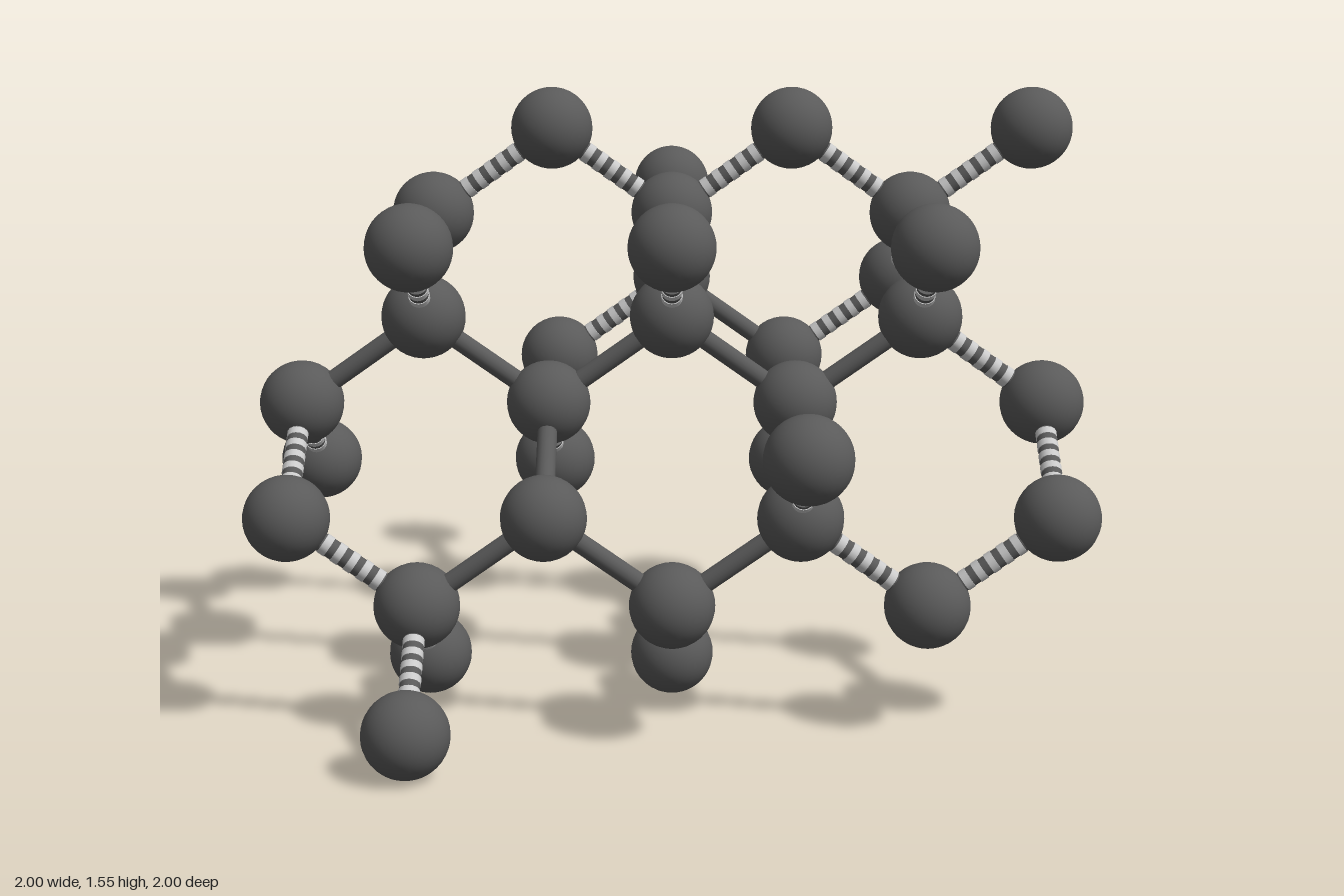
import * as THREE from 'three';

const STEP = 0.2233;      // lattice step
const BALL = 0.107;       // ball radius
const ROD = 0.025;        // rod radius

// Lattice balls by height layer, as [x, z] pairs in lattice steps
const LAYERS = [
  [[-2, 2], [0, 4], [0, 0]],
  [[-1, 3], [1, 1], [3, -1]],
  [[-4, 2], [-2, 4], [-2, 0], [0, 2], [0, -2], [2, 0], [4, -2]],
  [[-3, 3], [-3, -1], [-1, 1], [-1, -3], [1, -1], [3, 1], [3, -3]],
  [[-2, 2], [-2, -2], [0, 0], [0, -4], [2, -2]],
  [[-3, 1], [-3, -3], [-1, 3], [-1, -1], [1, 1], [1, -3], [3, -1]],
  [[-2, 0], [0, -2], [2, -4]],
];

// The four tetrahedral directions from an even-layer ball
const DIRECTIONS = [[1, 1, 1], [-1, -1, 1], [-1, 1, -1], [1, -1, -1]];

export function createModel() {
  const model = new THREE.Group();
  model.name = 'crystalLattice';
  const dark = new THREE.MeshStandardMaterial({ color: 0x5a5a5a });
  const light = new THREE.MeshStandardMaterial({ color: 0xcccccc });

  const ballGeometry = new THREE.SphereGeometry(BALL, 32, 20);
  const length = STEP * Math.sqrt(3);
  const rodGeometry = new THREE.CylinderGeometry(ROD, ROD, length - BALL, 16);
  const bandGeometry = new THREE.CylinderGeometry(ROD + 0.002, ROD + 0.002, 0.02, 16);

  // Balls
  const balls = new Map();
  LAYERS.forEach((layer, y) => layer.forEach(([x, z]) => {
    const ball = new THREE.Mesh(ballGeometry, dark);
    ball.name = 'ball';
    ball.position.set(x * STEP, BALL + y * STEP, z * STEP);
    model.add(ball);
    balls.set([x, y, z].join(), { cell: [x, y, z], position: ball.position, links: 0 });
  }));

  // Find neighbouring pairs
  const pairs = [];
  for (const a of balls.values()) {
    if (a.cell[1] % 2) continue;
    for (const d of DIRECTIONS) {
      const b = balls.get(a.cell.map((v, i) => v + d[i]).join());
      if (!b) continue;
      a.links++;
      b.links++;
      pairs.push([a, b]);
    }
  }

  // Rods, banded where they reach a loosely connected outer ball
  const up = new THREE.Vector3(0, 1, 0);
  for (const [a, b] of pairs) {
    const banded = Math.min(a.links, b.links) <= 2;
    const rod = new THREE.Group();
    rod.name = banded ? 'bandedRod' : 'plainRod';
    const core = new THREE.Mesh(rodGeometry, dark);
    core.name = 'rodCore';
    rod.add(core);
    for (let i = -2; banded && i <= 2; i++) {
      const band = new THREE.Mesh(bandGeometry, light);
      band.name = 'rodBand';
      band.position.y = i * 0.038;
      rod.add(band);
    }
    rod.position.copy(a.position).lerp(b.position, 0.5);
    rod.quaternion.setFromUnitVectors(up, b.position.clone().sub(a.position).normalize());
    model.add(rod);
  }
  return model;
}
